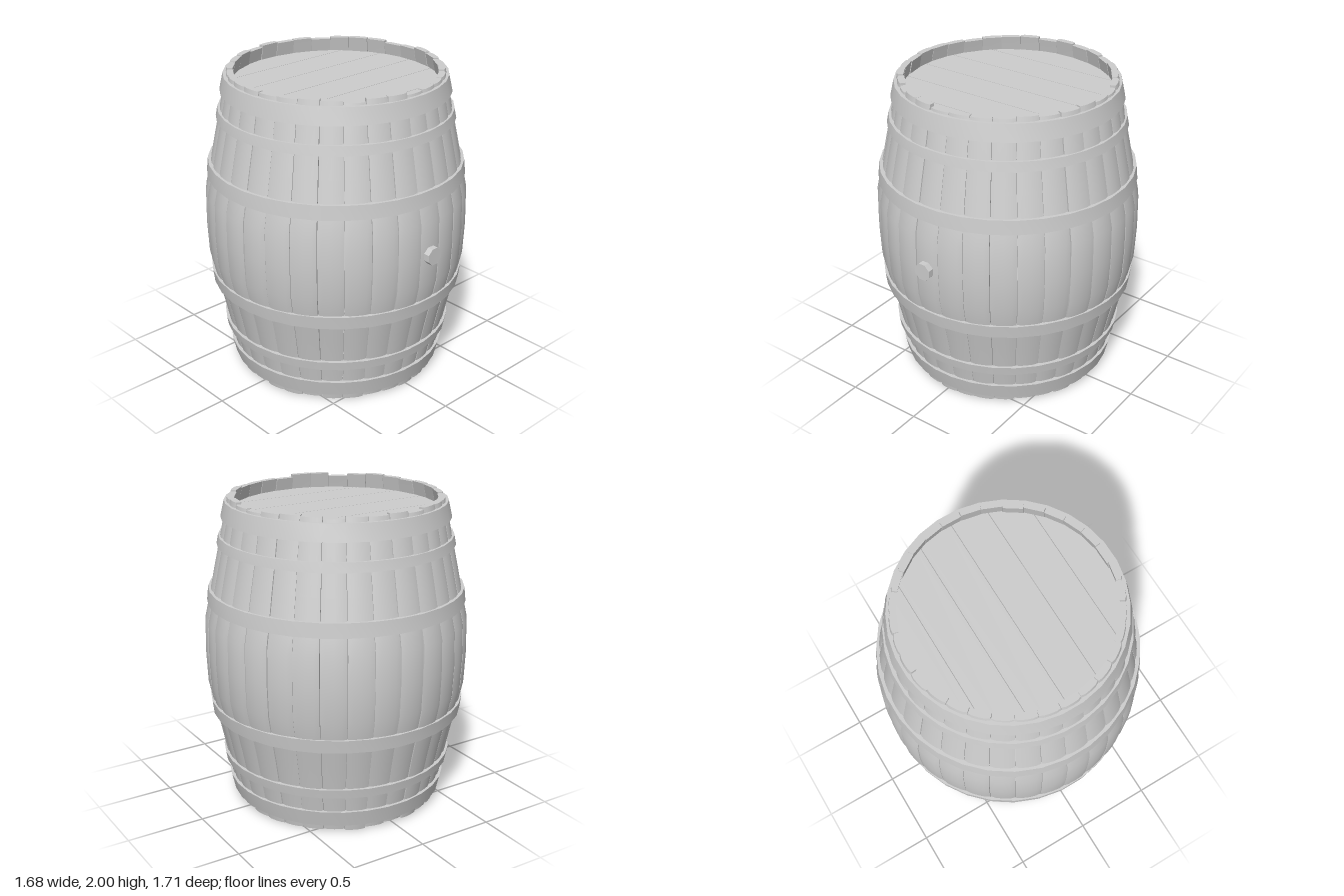
import * as THREE from 'three';
import { toCreasedNormals, mergeGeometries } from 'three/addons/utils/BufferGeometryUtils.js';

const STAVES = 32;
// Outer barrel profile: [height, radius]
const PROFILE = [[0, 0.668], [0.13, 0.69], [0.28, 0.72], [0.46, 0.757], [0.64, 0.798], [0.8, 0.832],
  [1, 0.84], [1.22, 0.835], [1.37, 0.802], [1.55, 0.765], [1.72, 0.728], [1.87, 0.698], [2, 0.672]];

let seed = 7;
function random() {
  seed = (seed * 16807) % 2147483647;
  return seed / 2147483647;
}

// One bent board with a rounded outer face and a flat inner face
function staveGeometry(angle) {
  const half = Math.PI / STAVES - 0.002;
  const section = [-1, -0.6, 0, 0.6, 1].map(t => [t * half, -0.007 * t * t * t * t]);
  section.push([half, -0.04], [-half, -0.04]);
  const n = section.length;
  const rows = PROFILE.length;
  const low = random() * 0.02, high = 2 - random() * 0.022, shift = (random() - 0.5) * 0.008;
  const position = [], index = [];
  PROFILE.forEach(([y, r], j) => {
    const h = j === 0 ? low : j === rows - 1 ? high : y;
    for (const [a, d] of section) {
      const radius = r + d + shift;
      position.push(Math.sin(angle + a) * radius, h, Math.cos(angle + a) * radius);
    }
  });
  for (let j = 0; j < rows - 1; j++) {
    for (let i = 0; i < n; i++) {
      const a = j * n + i, b = j * n + (i + 1) % n;
      index.push(a, b, b + n, a, b + n, a + n);
    }
  }
  // End caps
  const top = (rows - 1) * n;
  for (let i = 0; i < n - 2; i++) {
    index.push(top + n - 1, top + i, top + i + 1, n - 1, i + 1, i);
  }
  const geometry = new THREE.BufferGeometry();
  geometry.setAttribute('position', new THREE.Float32BufferAttribute(position, 3));
  geometry.setIndex(index);
  return toCreasedNormals(geometry, 0.6);
}

// Closed band around the barrel, following its slope
function hoopGeometry(y0, r0, y1, r1) {
  const points = [[r0 - 0.04, y0], [r0, y0], [r1, y1], [r1 - 0.04, y1], [r0 - 0.04, y0]]
    .map(p => new THREE.Vector2(...p));
  return toCreasedNormals(new THREE.LatheGeometry(points, STAVES, Math.PI / STAVES), 0.6);
}

// Plank cut from a disc between two parallel lines
function plankGeometry(z0, z1, radius) {
  const shape = new THREE.Shape();
  const a0 = Math.asin(Math.max(-1, z0 / radius)), a1 = Math.asin(Math.min(1, z1 / radius));
  shape.absarc(0, 0, radius, a0, a1, false);
  shape.absarc(0, 0, radius, Math.PI - a1, Math.PI - a0, false);
  const geometry = new THREE.ExtrudeGeometry(shape, { depth: 0.04, bevelEnabled: false, curveSegments: 10 });
  return geometry.rotateX(Math.PI / 2).translate(0, 0.02, 0);
}

export function createModel() {
  const grey = new THREE.MeshStandardMaterial({ color: 0xcccccc });
  grey.name = 'plain grey';
  const model = new THREE.Group();
  model.name = 'barrel';
  const body = new THREE.Group();
  body.name = 'barrelBody';
  body.position.z = -0.017;
  model.add(body);

  function add(name, geometry, parent = body) {
    const mesh = new THREE.Mesh(geometry, grey);
    mesh.name = name;
    parent.add(mesh);
    return mesh;
  }

  // Staves
  const staves = [];
  for (let i = 0; i < STAVES; i++) staves.push(staveGeometry(i / STAVES * Math.PI * 2 + 0.005));
  add('staves', mergeGeometries(staves));

  // Hoops
  [['bottomHoop', 0.045, 0.69, 0.15, 0.714], ['lowerHoop', 0.26, 0.738, 0.32, 0.748],
    ['lowerMiddleHoop', 0.6, 0.813, 0.685, 0.823], ['upperMiddleHoop', 1.325, 0.823, 1.415, 0.813],
    ['upperHoop', 1.69, 0.75, 1.75, 0.738], ['topHoop', 1.86, 0.72, 1.965, 0.696],
  ].forEach(([name, ...size]) => add(name, hoopGeometry(...size)));

  // Plank heads, recessed at both ends
  const width = 0.2285, radius = 0.655;
  for (const [name, y] of [['topHead', 1.88], ['bottomHead', 0.12]]) {
    const head = new THREE.Group();
    head.name = name;
    head.position.y = y;
    body.add(head);
    for (let i = -3; i < 3; i++) {
      add('headPlank', plankGeometry(i * width + 0.002, (i + 1) * width - 0.002, radius), head);
    }
  }

  // Bung on the front
  const bung = new THREE.CylinderGeometry(0.058, 0.058, 0.09, 8).rotateX(Math.PI / 2);
  bung.rotateZ(Math.PI / 8);
  add('bung', toCreasedNormals(bung, 0.5), model).position.set(0, 1.005, 0.812);

  return model;
}
